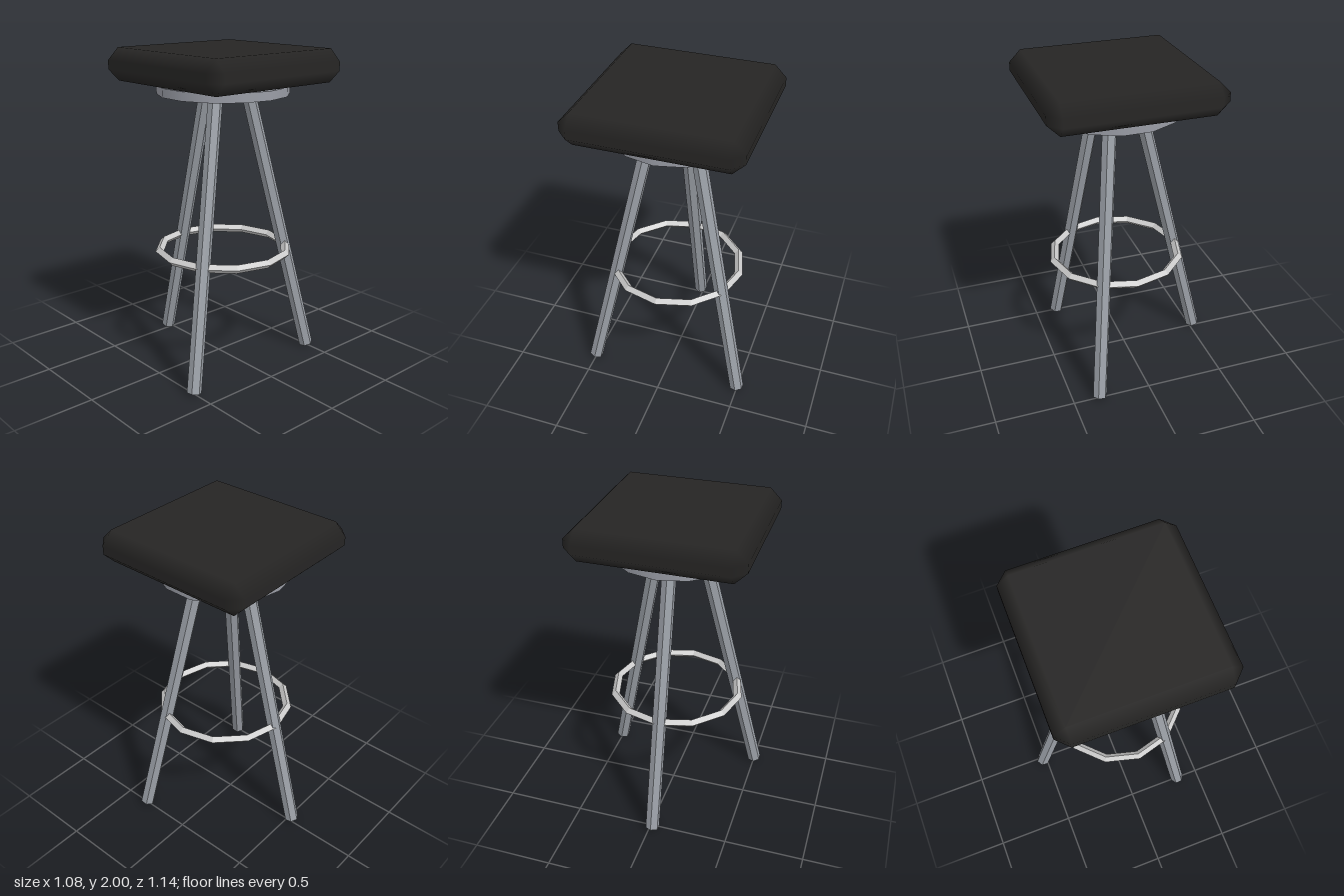
import * as THREE from 'three';
import { ConvexGeometry } from 'three/addons/geometries/ConvexGeometry.js';

const CX = -0.008, CZ = 0.052;

// Box with every edge and corner bevelled; normals run smoothly over the bevels
function bevelledBox(w, h, d, bevel) {
  const half = [w / 2, h / 2, d / 2];
  const points = [];
  for (let axis = 0; axis < 3; axis++)
    for (const sx of [-1, 1]) for (const sy of [-1, 1]) for (const sz of [-1, 1]) {
      const s = [sx, sy, sz];
      points.push(new THREE.Vector3(...half.map((v, i) => s[i] * (i === axis ? v : v - bevel))));
    }
  const geo = new ConvexGeometry(points);
  const pos = geo.attributes.position, normal = geo.attributes.normal;
  const inner = new THREE.Vector3(...half).subScalar(bevel);
  const p = new THREE.Vector3(), q = new THREE.Vector3();
  for (let i = 0; i < pos.count; i++) {
    p.fromBufferAttribute(pos, i);
    q.copy(p).clamp(inner.clone().negate(), inner);
    p.sub(q).normalize();
    normal.setXYZ(i, p.x, p.y, p.z);
  }
  return geo;
}

export function createModel() {
  const stool = new THREE.Group();
  stool.name = 'stool';
  const cushionMat = new THREE.MeshStandardMaterial({ color: 0x262524 });
  const plateMat = new THREE.MeshStandardMaterial({ color: 0x9a9da6 });
  const legMat = new THREE.MeshStandardMaterial({ color: 0x9a9fa6, flatShading: true });
  const ringMat = new THREE.MeshStandardMaterial({ color: 0xcccccc, flatShading: true });

  const add = (parent, name, geo, mat, x, y, z) => {
    const mesh = new THREE.Mesh(geo, mat);
    mesh.name = name;
    mesh.position.set(x, y, z);
    parent.add(mesh);
    return mesh;
  };

  // Square cushion and the round plate under it
  add(stool, 'seatCushion', bevelledBox(1.045, 0.2, 1.045, 0.073), cushionMat, CX, 1.9, CZ);
  add(stool, 'seatPlate', new THREE.CylinderGeometry(0.405, 0.405, 0.055, 14), plateMat, CX, 1.757, CZ);

  // Three splayed hexagonal legs
  const top = new THREE.Vector3(0, 1.745, 0.152), foot = new THREE.Vector3(0, 0.011, 0.578);
  const legGeo = new THREE.CylinderGeometry(0.045, 0.045, top.distanceTo(foot), 6);
  const tilt = Math.atan2(foot.z - top.z, top.y - foot.y);
  const mid = top.clone().lerp(foot, 0.5);
  ['leftFrontLeg', 'backLeg', 'rightFrontLeg'].forEach((name, i) => {
    const pivot = new THREE.Group();
    pivot.name = name;
    pivot.position.set(CX, 0, CZ);
    pivot.rotation.y = THREE.MathUtils.degToRad(61.2 + 120 * i);
    add(pivot, name + 'Bar', legGeo, legMat, 0, mid.y, mid.z).rotation.x = -tilt;
    stool.add(pivot);
  });

  // Foot ring with a diamond section
  const ring = new THREE.TorusGeometry(0.408, 0.027, 4, 12).rotateX(Math.PI / 2);
  add(stool, 'footRing', ring, ringMat, CX, 0.743, CZ);

  return stool;
}
